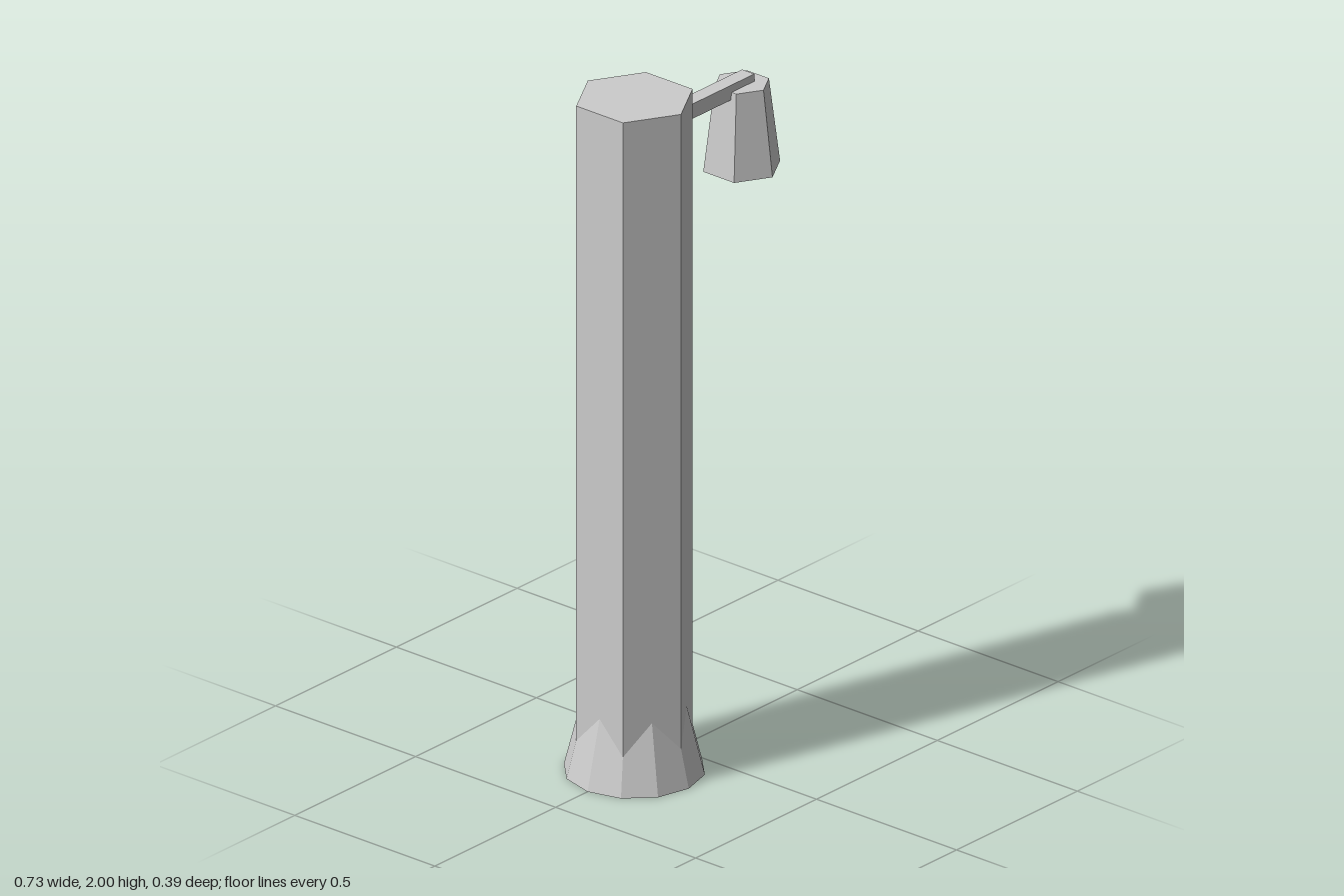
import * as THREE from 'three';

export function createModel() {
  const model = new THREE.Group();
  const grey = new THREE.MeshStandardMaterial({ color: 0xcccccc });
  grey.name = 'light grey';
  grey.flatShading = true;

  const add = (name, geometry, x, y) => {
    const mesh = new THREE.Mesh(geometry, grey);
    mesh.name = name;
    mesh.position.set(x, y, 0);
    model.add(mesh);
  };

  const postX = -0.174, lampX = 0.27;

  // Hexagonal post with a flared twelve-sided foot
  add('post', new THREE.CylinderGeometry(0.1665, 0.1665, 1.99, 6), postX, 1.005);
  add('foot', new THREE.CylinderGeometry(0.144, 0.194, 0.2, 12), postX, 0.1);

  // Square arm reaching out from the post, sunk halfway into the lamp's top
  add('arm', new THREE.BoxGeometry(0.337, 0.044, 0.044), 0.1285, 1.89);

  // Tapered hexagonal lamp hanging at the end of the arm
  add('lamp', new THREE.CylinderGeometry(0.078, 0.11, 0.25, 6), lampX, 1.765);

  return model;
}
